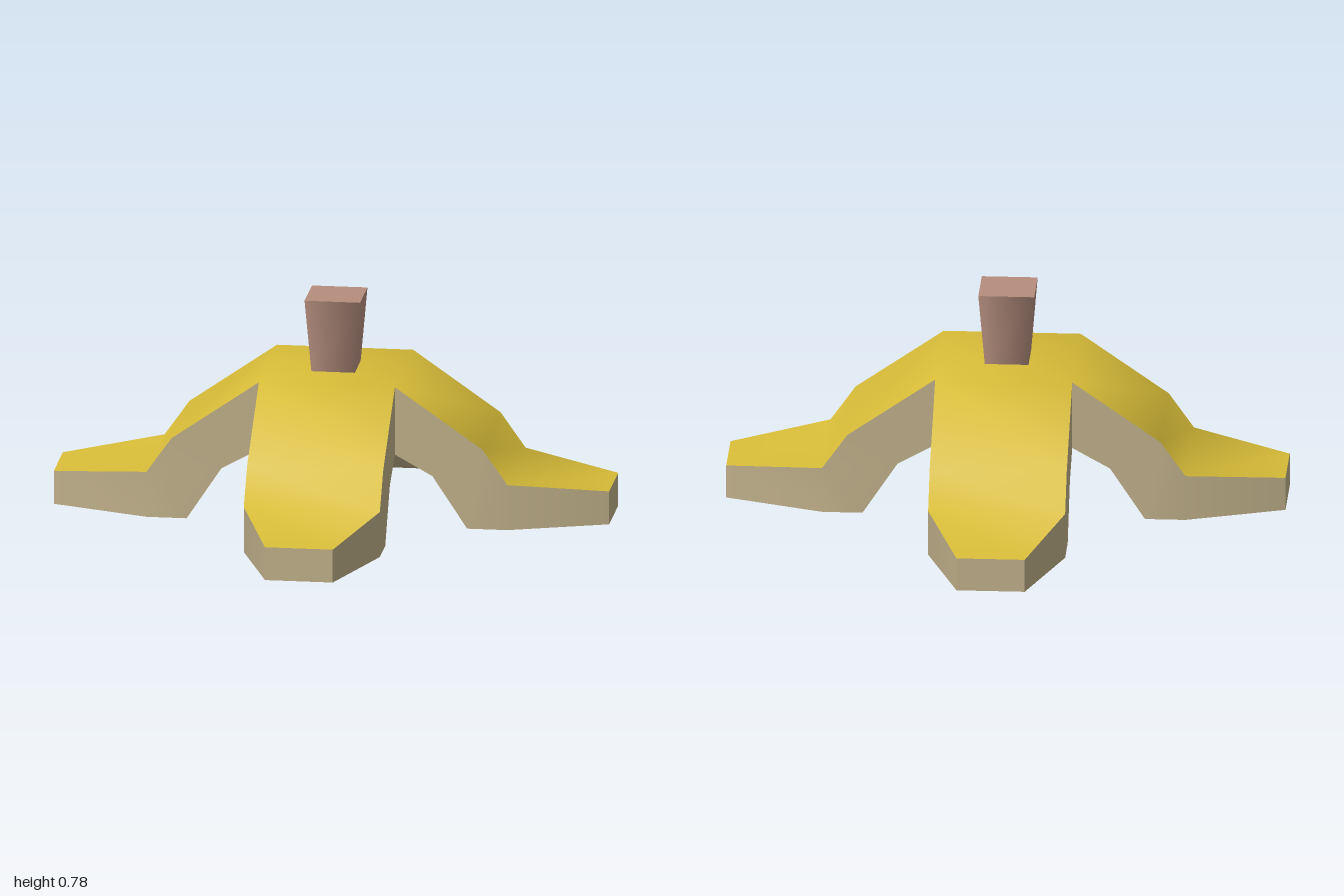
import * as THREE from 'three';
import { toCreasedNormals } from 'three/addons/utils/BufferGeometryUtils.js';

// Stations along one petal, from centre to tip: half width, top [z, y], bottom [z, y]
const HALF = 0.245;
const STATIONS = [
  { w: HALF, top: [HALF, 0.515], bottom: [HALF, 0.265] },
  { w: HALF, top: [0.56, 0.295], bottom: [0.38, 0.19] },
  { w: HALF, top: [0.65, 0.167], bottom: [0.505, 0] },
  { w: HALF, top: [0.65, 0.167], bottom: [0.65, 0] },
  { w: 0.122, top: [1, 0.122], bottom: [1, 0] },
];
const CROWN_TOP = [0, 0.515, 0];
const CROWN_UNDER = [0, 0.385, 0];

// Collects triangles, turned by quarter turns about y, skipping empty ones
function createSurface() {
  const points = [];
  const addTriangle = (turn, ...corners) => {
    const tri = corners.map((p) => new THREE.Vector3(...p));
    if (new THREE.Triangle(...tri).getArea() < 1e-6) return;
    for (const p of tri) {
      for (let i = 0; i < turn; i++) p.set(p.z, p.y, -p.x);
      points.push(p.x, p.y, p.z);
    }
  };
  return {
    addTriangle,
    addQuad(turn, a, b, c, d) {
      addTriangle(turn, a, b, c);
      addTriangle(turn, a, c, d);
    },
    build(creaseAngle) {
      const geometry = new THREE.BufferGeometry();
      geometry.setAttribute('position', new THREE.Float32BufferAttribute(points, 3));
      return toCreasedNormals(geometry, creaseAngle);
    },
  };
}

// Four corners of the cross-section at a station
function corners({ w, top, bottom }) {
  return {
    topL: [w, top[1], top[0]],
    topR: [-w, top[1], top[0]],
    lowL: [w, bottom[1], bottom[0]],
    lowR: [-w, bottom[1], bottom[0]],
  };
}

export function createModel() {
  const group = new THREE.Group();
  const yellow = new THREE.MeshStandardMaterial({ color: 0xd8bd38 });
  yellow.name = 'yellow skin';
  const beige = new THREE.MeshStandardMaterial({ color: 0xc0b08a });
  beige.name = 'beige flesh';
  const brown = new THREE.MeshStandardMaterial({ color: 0xb58e7e });
  brown.name = 'brown stem';

  const skin = createSurface();
  const flesh = createSurface();
  const sections = STATIONS.map(corners);
  const root = sections[0];
  const tip = sections[sections.length - 1];

  for (let turn = 0; turn < 4; turn++) {
    // Quarter of the crown, flat above and hollow below
    skin.addTriangle(turn, CROWN_TOP, root.topR, root.topL);
    flesh.addTriangle(turn, CROWN_UNDER, root.lowL, root.lowR);

    // Petal: outer skin, underside and both side walls
    for (let i = 0; i < sections.length - 1; i++) {
      const a = sections[i];
      const b = sections[i + 1];
      skin.addQuad(turn, a.topR, b.topR, b.topL, a.topL);
      flesh.addQuad(turn, a.lowL, b.lowL, b.lowR, a.lowR);
      flesh.addQuad(turn, a.lowL, a.topL, b.topL, b.lowL);
      flesh.addQuad(turn, b.lowR, b.topR, a.topR, a.lowR);
    }

    // Blunt tip
    flesh.addQuad(turn, tip.lowR, tip.lowL, tip.topL, tip.topR);
  }

  const addMesh = (name, geometry, material) => {
    const mesh = new THREE.Mesh(geometry, material);
    mesh.name = name;
    group.add(mesh);
    return mesh;
  };
  addMesh('peelSkin', skin.build(1.1), yellow);
  addMesh('peelFlesh', flesh.build(1.1), beige);

  // Square stem, flaring upwards
  const stemGeometry = new THREE.CylinderGeometry(0.1 * Math.SQRT2, 0.078 * Math.SQRT2, 0.27, 4);
  stemGeometry.rotateY(Math.PI / 4);
  addMesh('stem', stemGeometry, brown).position.y = 0.647;

  return group;
}
